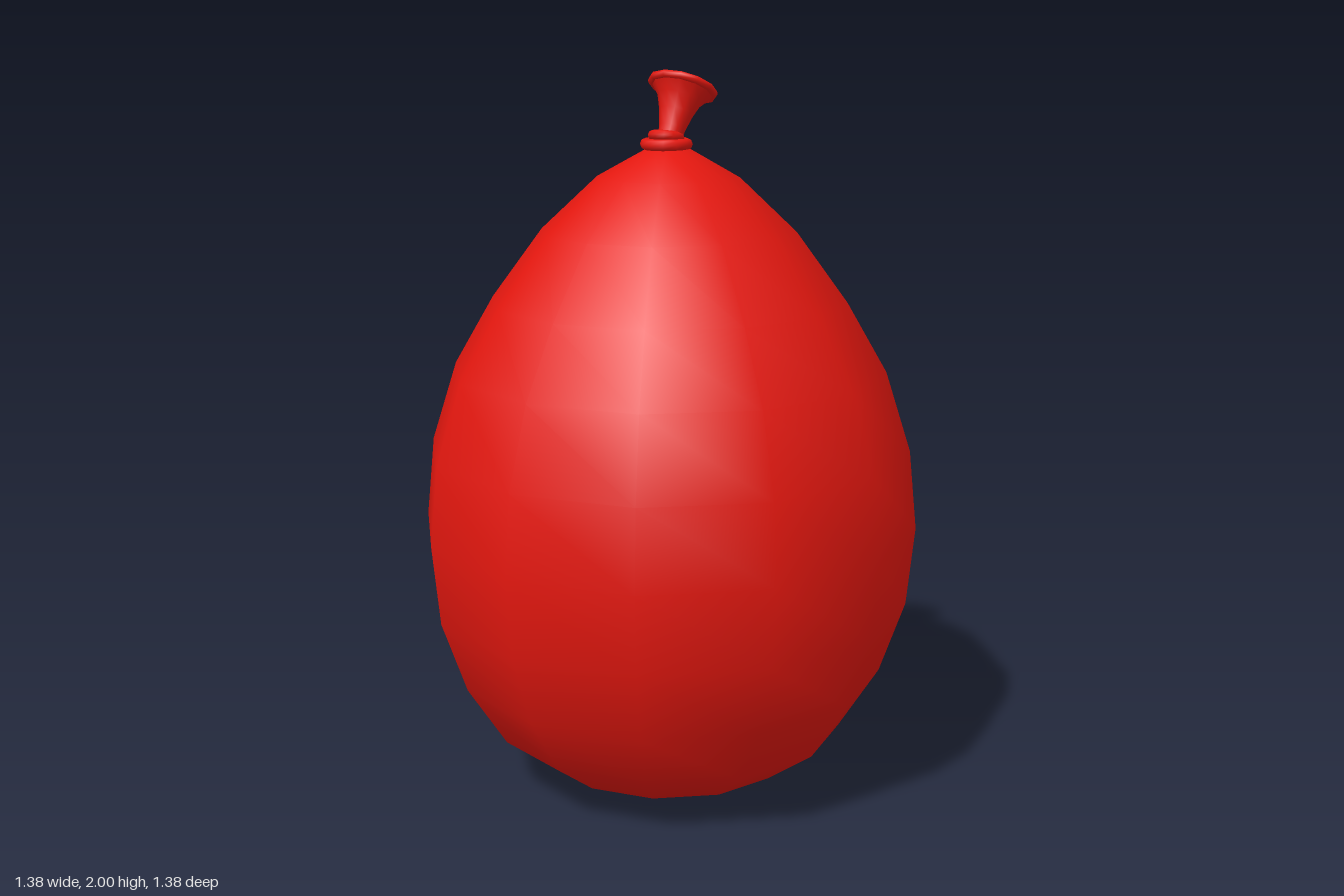
import * as THREE from 'three';

const red = new THREE.MeshStandardMaterial({ color: 0xe3170f });

function addMesh(parent, name, geometry) {
  const mesh = new THREE.Mesh(geometry, red);
  mesh.name = name;
  parent.add(mesh);
  return mesh;
}

function lathe(profile, sides) {
  return new THREE.LatheGeometry(profile.map(([r, y]) => new THREE.Vector2(r, y)), sides);
}

// Ring lying flat around the neck
function addRing(parent, name, radius, tube, position) {
  const ring = addMesh(parent, name, new THREE.TorusGeometry(radius, tube, 8, 12).rotateX(Math.PI / 2));
  ring.position.set(...position);
  return ring;
}

export function createModel() {
  const group = new THREE.Group();
  group.name = 'balloon';

  // Inflated twelve-sided body, bottom to top
  addMesh(group, 'body', lathe([
    [0, 0], [0.18, 0.013], [0.35, 0.06], [0.49, 0.16], [0.6, 0.33], [0.67, 0.53], [0.692, 0.75],
    [0.67, 0.97], [0.6, 1.19], [0.49, 1.38], [0.35, 1.57], [0.195, 1.715], [0.06, 1.79], [0, 1.8],
  ], 12));

  // Knot: two rolled rings
  addRing(group, 'knotLowerRing', 0.056, 0.016, [-0.006, 1.803, 0]);
  const upperRing = addRing(group, 'knotUpperRing', 0.036, 0.014, [-0.01, 1.824, 0.008]);
  upperRing.rotation.set(-0.1, 0, -0.15);

  // Tilted flared mouth, hollow inside; its origin is the centre of the opening
  const mouth = new THREE.Group();
  mouth.name = 'mouth';
  mouth.position.set(0.055, 1.951, -0.03);
  const axis = new THREE.Vector3(0.42, 1, -0.3).normalize();
  mouth.quaternion.setFromUnitVectors(new THREE.Vector3(0, 1, 0), axis);
  group.add(mouth);

  addMesh(mouth, 'mouthOuterWall', lathe([
    [0.032, -0.16], [0.036, -0.12], [0.047, -0.075], [0.062, -0.035], [0.086, -0.005],
  ], 12));
  addMesh(mouth, 'mouthInnerWall', lathe([
    [0.082, 0.003], [0.058, -0.028], [0.04, -0.07], [0.025, -0.11], [0, -0.13],
  ], 12));
  addRing(mouth, 'mouthRim', 0.086, 0.011, [0, 0, 0]);

  return group;
}
